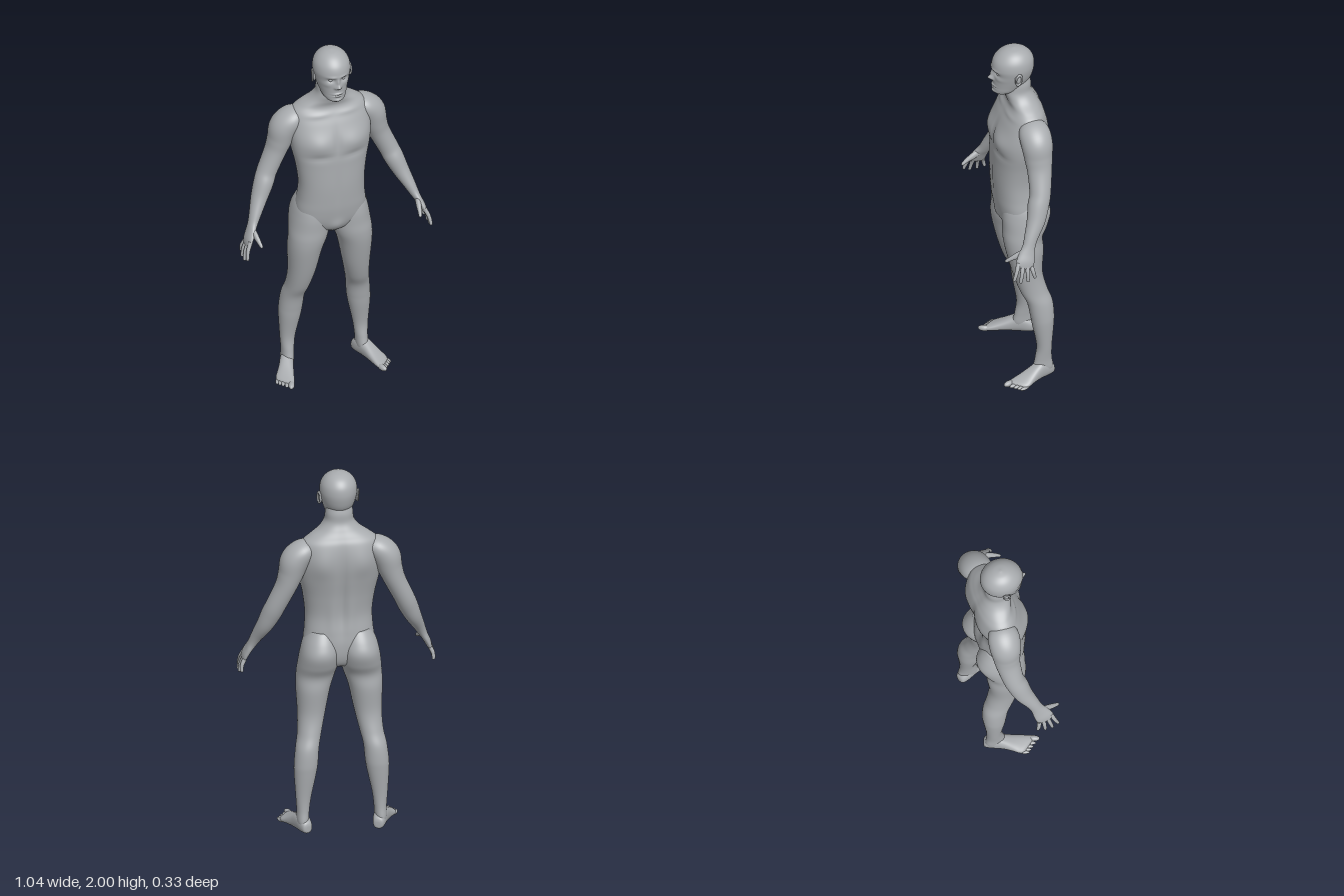
import * as THREE from 'three';

// Catmull-Rom through rows of numbers
function spline(rows, steps) {
  const out = [], last = rows.length - 1;
  for (let k = 0; k <= last * steps; k++) {
    const i = Math.min(Math.floor(k / steps), last - 1), t = k / steps - i;
    const [p, q, r, s] = [-1, 0, 1, 2].map(d => rows[Math.min(Math.max(i + d, 0), last)]);
    out.push(q.map((b, j) => b + 0.5 * t * (r[j] - p[j] + t * (2 * p[j] - 5 * b + 4 * r[j] - s[j]
      + t * (3 * (b - r[j]) + s[j] - p[j])))));
  }
  return out;
}

// Closed smooth skin over rings; place() puts a unit-circle point on ring i
function skin(count, place, segs, power) {
  const pos = [], index = [];
  const round = v => Math.sign(v) * Math.abs(v) ** power;
  for (let i = -1; i <= count; i++) {
    const ring = Math.min(Math.max(i, 0), count - 1), k = ring === i ? 1 : 0;
    for (let j = 0; j < segs; j++) {
      const a = j / segs * Math.PI * 2;
      pos.push(...place(ring, k * round(Math.cos(a)), k * round(Math.sin(a))));
    }
  }
  for (let i = 0; i <= count; i++) for (let j = 0; j < segs; j++) {
    const n = (j + 1) % segs, a = i * segs + j, b = i * segs + n, c = a + segs, d = b + segs;
    index.push(a, c, b, b, c, d);
  }
  const geo = new THREE.BufferGeometry();
  geo.setAttribute('position', new THREE.Float32BufferAttribute(pos, 3));
  geo.setIndex(index);
  geo.computeVertexNormals();
  return geo;
}

// Level sections, bottom to top: [y, x min, x max, z front, z back]
function upright(sections, steps = 6, segs = 64, power = 1) {
  const rows = spline(sections, steps);
  return skin(rows.length, (i, c, s) => {
    const [y, x0, x1, z1, z0] = rows[i];
    return [(x0 + x1) / 2 + (x1 - x0) / 2 * c, y, (z0 + z1) / 2 + (z1 - z0) / 2 * s];
  }, segs, power);
}

// Limb along a path: [x, y, z, half width, half thickness]
function limb(sections, ref, steps = 6, segs = 32) {
  const rows = spline(sections, steps);
  const at = i => new THREE.Vector3(...rows[Math.min(Math.max(i, 0), rows.length - 1)].slice(0, 3));
  const frames = rows.map((_, i) => {
    const t = at(i + 1).sub(at(i - 1)).normalize();
    const a = ref.clone().addScaledVector(t, -ref.dot(t)).normalize();
    return [a, a.clone().cross(t)];
  });
  return skin(rows.length, (i, c, s) => at(i).addScaledVector(frames[i][0], rows[i][3] * c)
    .addScaledVector(frames[i][1], rows[i][4] * s).toArray(), segs, 1);
}

// Soft mirrored bumps: [x, y, x spread, y spread, height, side (1 front, -1 back)]
function sculpt(geo, bumps) {
  const p = geo.attributes.position;
  for (let i = 0; i < p.count; i++) {
    const x = Math.abs(p.getX(i)), y = p.getY(i), z = p.getZ(i);
    let dz = 0;
    for (const [bx, by, sx, sy, h, side] of bumps) {
      const w = Math.min(Math.max(z * side / 0.05, 0), 1);
      dz += side * w * h * Math.exp(-(((x - bx) / sx) ** 2) - ((y - by) / sy) ** 2);
    }
    p.setZ(i, z + dz);
  }
  geo.computeVertexNormals();
  return geo;
}

function mirrored(geo) {
  const g = geo.clone().scale(-1, 1, 1), ix = g.index.array;
  for (let i = 0; i < ix.length; i += 3) [ix[i], ix[i + 1]] = [ix[i + 1], ix[i]];
  g.computeVertexNormals();
  return g;
}

const ball = (x, y, z, rx, ry, rz) => new THREE.SphereGeometry(1, 24, 16).scale(rx, ry, rz).translate(x, y, z);

export function createModel() {
  const body = new THREE.Group();
  body.name = 'body';
  const skinGrey = new THREE.MeshStandardMaterial({ color: 0xa9acaf });
  skinGrey.name = 'skinGrey';
  const add = (name, geo) => {
    const m = new THREE.Mesh(geo, skinGrey);
    m.name = name;
    body.add(m);
  };
  const addPair = (name, geo) => {
    add('left' + name, geo);
    add('right' + name, mirrored(geo));
  };
  const sym = rows => rows.map(([y, w, f, b]) => [y, -w, w, f, b]);

  // Torso and neck
  add('torso', sculpt(upright(sym([
    [0.90, 0.04, 0.05, -0.05], [0.93, 0.12, 0.078, -0.10], [0.98, 0.185, 0.097, -0.122],
    [1.05, 0.188, 0.11, -0.128], [1.12, 0.18, 0.116, -0.122], [1.21, 0.177, 0.12, -0.112],
    [1.315, 0.19, 0.119, -0.123], [1.42, 0.212, 0.117, -0.142], [1.50, 0.22, 0.105, -0.153],
    [1.57, 0.215, 0.08, -0.153], [1.63, 0.2, 0.05, -0.143], [1.665, 0.16, 0.037, -0.127],
    [1.70, 0.107, 0.046, -0.108], [1.74, 0.078, 0.055, -0.09], [1.79, 0.072, 0.045, -0.087],
    [1.85, 0.06, 0.03, -0.07]]), 7, 96, 0.88), [
    [0.1, 1.47, 0.075, 0.05, 0.016, 1], [0.09, 1.395, 0.07, 0.018, -0.007, 1],
    [0, 1.47, 0.014, 0.07, -0.008, 1], [0, 1.2, 0.014, 0.13, -0.004, 1],
    [0.1, 1.625, 0.08, 0.012, 0.005, 1], [0, 0.955, 0.035, 0.035, 0.01, 1],
    [0, 1.35, 0.022, 0.24, -0.014, -1], [0.11, 1.53, 0.06, 0.08, 0.013, -1],
    [0.05, 1.2, 0.025, 0.12, 0.006, -1]]));

  // Head with face
  add('head', sculpt(upright(sym([
    [1.73, 0.03, 0.1, 0.03], [1.742, 0.05, 0.112, 0.0], [1.76, 0.063, 0.113, -0.03],
    [1.785, 0.072, 0.113, -0.06], [1.82, 0.083, 0.114, -0.088], [1.86, 0.093, 0.114, -0.102],
    [1.90, 0.098, 0.118, -0.107], [1.94, 0.091, 0.107, -0.1], [1.972, 0.07, 0.08, -0.077],
    [1.992, 0.04, 0.045, -0.042], [2.0, 0.004, 0.006, -0.002]]), 12, 96), [
    [0.034, 1.868, 0.018, 0.012, -0.013, 1], [0.03, 1.889, 0.026, 0.008, 0.005, 1],
    [0, 1.831, 0.013, 0.013, 0.026, 1], [0, 1.858, 0.009, 0.02, 0.014, 1],
    [0.014, 1.825, 0.007, 0.008, 0.007, 1], [0.055, 1.84, 0.02, 0.014, 0.004, 1],
    [0, 1.784, 0.024, 0.006, 0.008, 1], [0, 1.771, 0.02, 0.006, 0.007, 1],
    [0, 1.777, 0.026, 0.0028, -0.005, 1], [0, 1.748, 0.02, 0.01, 0.006, 1]]));
  addPair('Eye', ball(0.034, 1.867, 0.0885, 0.0125, 0.0105, 0.0125));

  // Ears: a hollow with a raised rim
  addPair('Ear', ball(0.094, 1.855, 0.002, 0.01, 0.03, 0.018));
  addPair('EarRim', new THREE.TorusGeometry(0.02, 0.0055, 10, 32).scale(0.85, 1.5, 1)
    .rotateY(Math.PI / 2 + 0.3).rotateX(-0.12).translate(0.102, 1.857, 0));

  // Legs, whose tops form the buttocks
  addPair('Leg', upright([
    [0.025, 0.185, 0.225, -0.075, -0.145], [0.06, 0.174, 0.237, -0.05, -0.156], [0.12, 0.17, 0.237, -0.06, -0.149],
    [0.20, 0.16, 0.242, -0.069, -0.15], [0.33, 0.133, 0.25, -0.047, -0.162],
    [0.39, 0.124, 0.249, -0.038, -0.165], [0.47, 0.117, 0.24, -0.022, -0.158],
    [0.545, 0.1, 0.226, 0.013, -0.133], [0.65, 0.076, 0.222, 0.046, -0.112],
    [0.785, 0.048, 0.228, 0.078, -0.12], [0.865, 0.022, 0.225, 0.09, -0.118],
    [0.93, 0.006, 0.218, 0.09, -0.147], [1.0, 0.005, 0.207, 0.09, -0.166],
    [1.06, 0.012, 0.19, 0.08, -0.147], [1.12, 0.03, 0.16, 0.05, -0.11]], 7, 64, 0.95));

  // Feet: sections run heel to ball, the front sheared back toward the small toe
  const turn = g => g.rotateY(0.38).translate(0.205, 0, -0.105);
  const foot = upright([
    [-0.06, -0.012, 0.012, -0.015, -0.045], [-0.052, -0.027, 0.027, -0.004, -0.065],
    [-0.02, -0.035, 0.035, 0, -0.09], [0.02, -0.036, 0.037, 0, -0.1],
    [0.06, -0.037, 0.04, 0, -0.083], [0.11, -0.042, 0.047, 0, -0.058],
    [0.15, -0.046, 0.053, 0, -0.04], [0.175, -0.044, 0.05, -0.002, -0.03],
    [0.185, -0.035, 0.042, -0.008, -0.022]], 5, 40, 0.85).rotateX(Math.PI / 2);
  const p = foot.attributes.position;
  for (let i = 0; i < p.count; i++) {
    const z = p.getZ(i), k = Math.min(Math.max((z - 0.05) / 0.13, 0), 1);
    p.setZ(i, z - 0.6 * k * p.getX(i));
  }
  foot.computeVertexNormals();
  addPair('Foot', turn(foot));
  for (let i = 0; i < 5; i++) {
    const x = [-0.031, -0.007, 0.013, 0.03, 0.045][i], r = i ? 0.0115 - i * 0.0006 : 0.016;
    addPair('Toe' + (i + 1), turn(ball(x, r, 0.182 - 0.6 * x, r, r, i ? 0.028 : 0.032)));
  }

  // Arms from shoulder to palm
  const zAxis = new THREE.Vector3(0, 0, 1), yAxis = new THREE.Vector3(0, 1, 0);
  addPair('Arm', limb([
    [0.13, 1.60, -0.05, 0.05, 0.035], [0.19, 1.585, -0.055, 0.08, 0.062], [0.238, 1.535, -0.06, 0.083, 0.076],
    [0.262, 1.46, -0.062, 0.074, 0.066], [0.287, 1.39, -0.062, 0.065, 0.057],
    [0.335, 1.285, -0.052, 0.056, 0.053], [0.36, 1.225, -0.035, 0.056, 0.052],
    [0.39, 1.155, -0.015, 0.049, 0.044], [0.425, 1.08, 0.02, 0.037, 0.032],
    [0.445, 1.035, 0.038, 0.034, 0.025], [0.462, 1.0, 0.052, 0.042, 0.02],
    [0.478, 0.965, 0.066, 0.048, 0.018], [0.487, 0.94, 0.074, 0.046, 0.014],
    [0.49, 0.93, 0.077, 0.034, 0.009]], zAxis, 7, 48));

  // Fingers fan out from the palm
  [[0.507, 0.877, 0.133], [0.512, 0.862, 0.1], [0.512, 0.863, 0.061], [0.505, 0.875, 0.022]].forEach((tip, i) => {
    const o = 0.036 - i * 0.024, base = [0.484 - 0.14 * o, 0.95 + 0.37 * o, 0.07 + 0.92 * o];
    const mid = base.map((b, j) => (b + tip[j]) / 2 + (j ? 0 : 0.006));
    const end = tip.map((t, j) => t + (t - mid[j]) * 0.08);
    addPair('Finger' + (i + 1), limb([[...base, 0.012, 0.012], [...mid, 0.0105, 0.0105],
      [...tip, 0.008, 0.008], [...end, 0.003, 0.003]], zAxis, 5, 16));
  });
  addPair('Thumb', limb([[0.455, 1.01, 0.06, 0.02, 0.014], [0.449, 0.99, 0.1, 0.018, 0.014],
    [0.443, 0.972, 0.135, 0.012, 0.011], [0.438, 0.957, 0.157, 0.009, 0.008],
    [0.436, 0.953, 0.163, 0.004, 0.004]], yAxis, 5, 20));
  return body;
}
